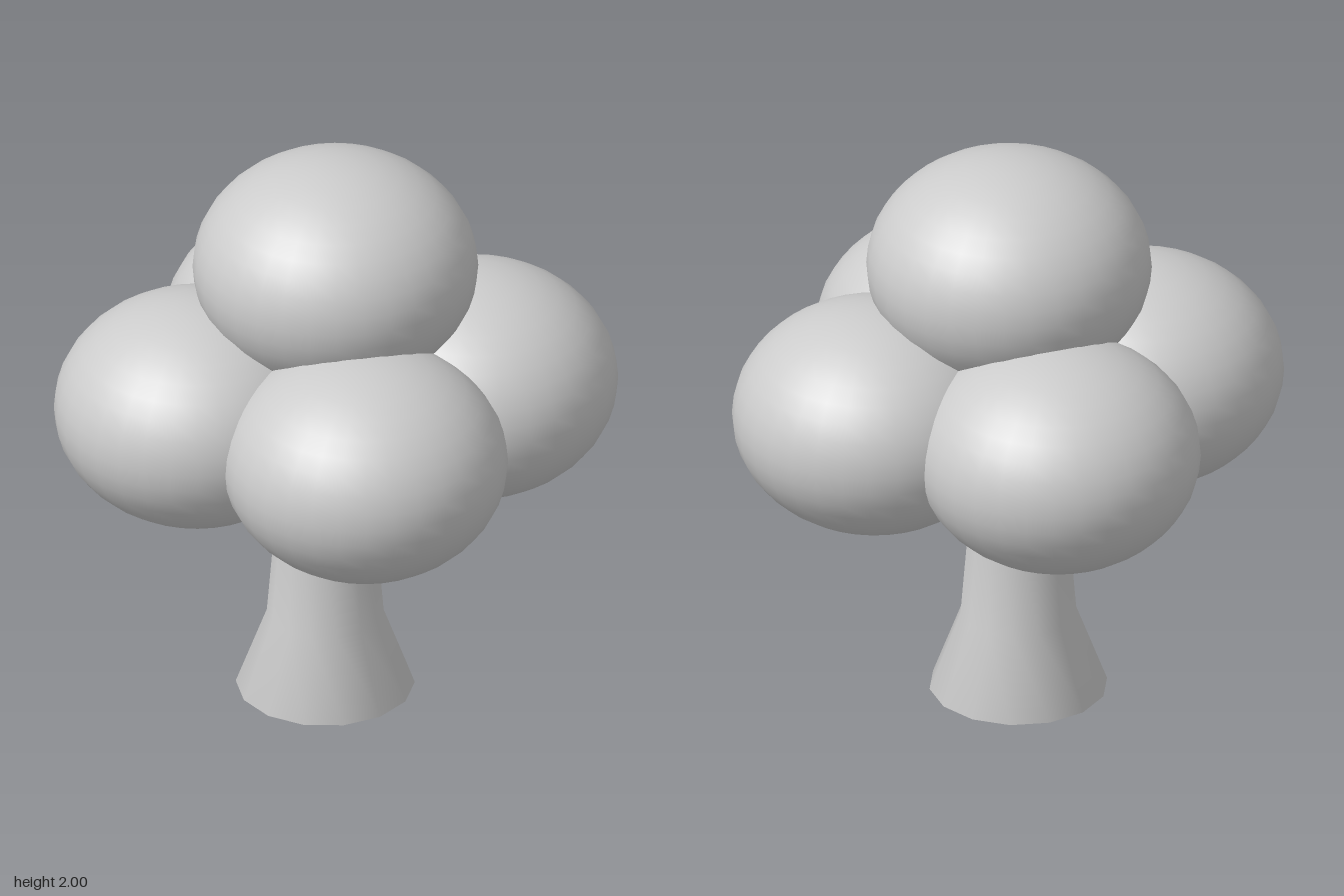
import * as THREE from 'three';

export function createModel() {
  const tree = new THREE.Group();
  tree.name = 'tree';
  const material = new THREE.MeshStandardMaterial({ color: 0xcccccc });

  // Trunk: flared foot, tapering up into the crown
  const profile = [[0, 0], [0.24, 0], [0.302, 0], [0.197, 0.28], [0.157, 0.77], [0.12, 1.25], [0, 1.25]]
    .map(([r, y]) => new THREE.Vector2(r, y));
  const trunk = new THREE.Mesh(new THREE.LatheGeometry(profile, 14), material);
  trunk.name = 'trunk';
  trunk.position.x = -0.037;
  tree.add(trunk);

  // Crown: flattened balls, four in a ring and one on top
  const ball = new THREE.SphereGeometry(1, 32, 20);
  ball.scale(0.482, 0.388, 0.482);
  const addFoliage = (name, x, y, z) => {
    const mesh = new THREE.Mesh(ball, material);
    mesh.name = name;
    mesh.position.set(x, y, z);
    tree.add(mesh);
  };
  ['foliageLeft', 'foliageFront', 'foliageRight', 'foliageBack'].forEach((name, i) => {
    const a = (i * Math.PI) / 2;
    addFoliage(name, 0.48 * Math.cos(a), 1.126, 0.48 * Math.sin(a));
  });
  addFoliage('foliageTop', 0, 1.612, -0.01);

  return tree;
}
